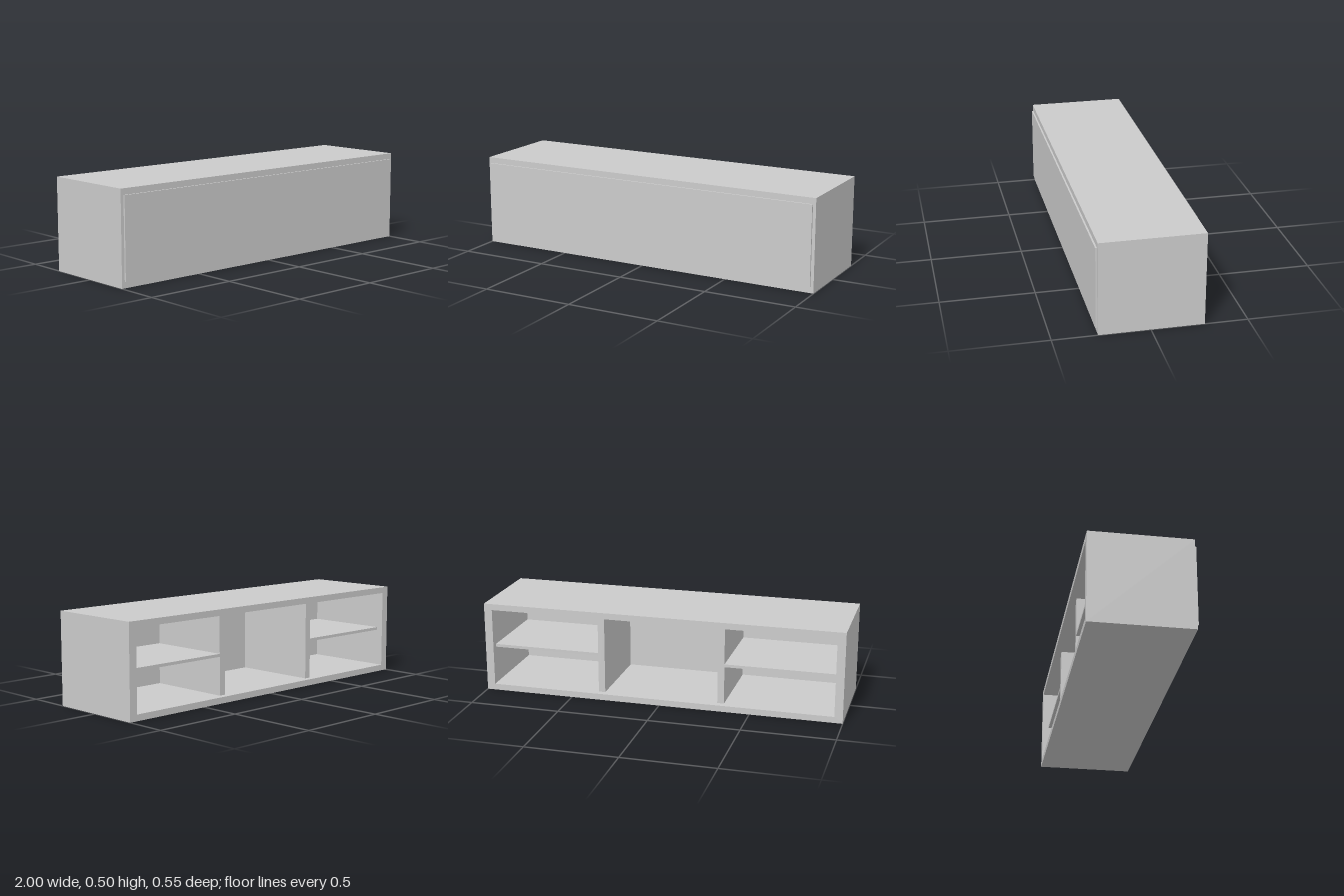
import * as THREE from 'three';

const W = 2, H = 0.5;               // outer width and height
const BACK = -0.276, FRONT = 0.267; // depth range of the carcass
const SIDE = 0.045, SLAB = 0.034;   // side wall and top/bottom thickness
const INSET = 0.036;                // setback of dividers and shelves from the open back
const WALL = 0.03;                  // front wall thickness

export function createModel() {
  const group = new THREE.Group();
  group.name = 'cabinet';
  const material = new THREE.MeshStandardMaterial({ color: 0xcccccc });

  const add = (name, geometry) => {
    const mesh = new THREE.Mesh(geometry, material);
    mesh.name = name;
    group.add(mesh);
    return mesh;
  };
  // Box given by its lower and upper corner
  const box = (name, [x0, y0, z0], [x1, y1, z1]) =>
    add(name, new THREE.BoxGeometry(x1 - x0, y1 - y0, z1 - z0))
      .position.set((x0 + x1) / 2, (y0 + y1) / 2, (z0 + z1) / 2);
  const rectangle = (path, x, y0, y1) =>
    path.moveTo(-x, y0).lineTo(x, y0).lineTo(x, y1).lineTo(-x, y1).closePath();

  // Outer carcass: top, bottom and sides as one rectangular tube
  const outline = rectangle(new THREE.Shape(), W / 2, 0, H);
  const innerX = W / 2 - SIDE;
  outline.holes.push(rectangle(new THREE.Path(), innerX, SLAB, H - SLAB));
  add('carcass', new THREE.ExtrudeGeometry(outline, { depth: FRONT - BACK, bevelEnabled: false }))
    .position.z = BACK;

  // Wall closing the front, with a raised panel on it
  const wallZ = FRONT - WALL;
  box('frontWall', [-innerX, SLAB, wallZ], [innerX, H - SLAB, FRONT]);
  box('frontPanel', [-0.983, 0.033, FRONT], [0.983, 0.467, 0.276]);

  // Dividers and outer bay shelves, mirrored
  const dividerIn = 0.317, dividerOut = 0.354;
  for (const s of [-1, 1]) {
    const span = (name, a, b, y0, y1) =>
      box(name, [Math.min(s * a, s * b), y0, BACK + INSET], [Math.max(s * a, s * b), y1, wallZ]);
    const prefix = s > 0 ? 'left' : 'right';
    span(prefix + 'Divider', dividerIn, dividerOut, SLAB, H - SLAB);
    span(prefix + 'Shelf', dividerOut, innerX, 0.242, 0.258);
  }
  return group;
}
